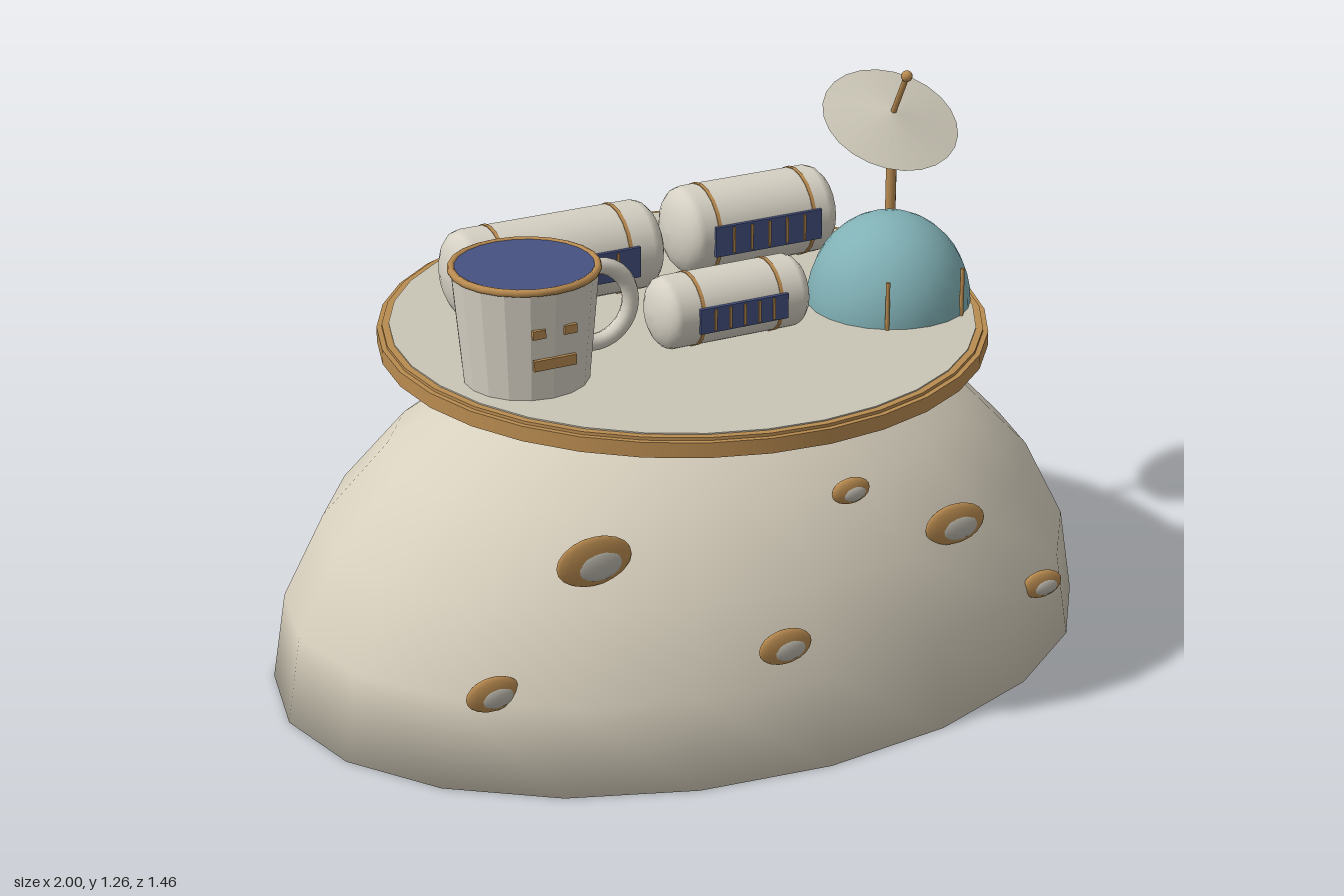
import * as THREE from 'three';
import { mergeGeometries, mergeVertices } from 'three/addons/utils/BufferGeometryUtils.js';

export function createModel() {
  const mat = (name, color, extra = {}) => {
    const m = new THREE.MeshStandardMaterial({ color, ...extra });
    m.name = name;
    return m;
  };
  const stone = mat('moonStone', 0xd8d0be);
  const shell = mat('shellCream', 0xd6d1c4);
  const deckGrey = mat('deckGrey', 0xcac5b5);
  const bronze = mat('bronze', 0xb98b50);
  const navy = mat('navy', 0x465282);
  const teal = mat('tealGlass', 0x80b0b5);
  const pit = mat('craterGrey', 0xbab6ab);

  const model = new THREE.Group();
  const add = (name, geo, material, x = 0, y = 0, z = 0, parent = model) => {
    const mesh = new THREE.Mesh(geo, material);
    mesh.name = name;
    mesh.position.set(x, y, z);
    parent.add(mesh);
    return mesh;
  };
  const group = (name, x, y, z) => {
    const g = new THREE.Group();
    g.name = name;
    g.position.set(x, y, z);
    model.add(g);
    return g;
  };
  const cyl = (rTop, rBottom, h, seg) => new THREE.CylinderGeometry(rTop, rBottom, h, seg);
  const flat = (geo) => {
    const g = geo.toNonIndexed();
    g.computeVertexNormals();
    return g;
  };

  // Half-ellipsoid moon with a closed base, shaded softly across the rim
  const half = new THREE.SphereGeometry(1, 20, 6, 0, Math.PI * 2, 0, Math.PI / 2);
  const rim = [];
  for (let i = 0; i < 20; i++) {
    const a = (i / 20) * Math.PI * 2;
    rim.push(new THREE.Vector2(Math.cos(a), Math.sin(a)));
  }
  const base = new THREE.ShapeGeometry(new THREE.Shape(rim)).rotateX(Math.PI / 2);
  for (const g of [half, base]) {
    g.deleteAttribute('uv');
    g.deleteAttribute('normal');
  }
  const moonGeo = mergeVertices(mergeGeometries([half, base]), 1e-3);
  moonGeo.scale(1, 0.8, 0.73);
  moonGeo.computeVertexNormals();
  const pos = moonGeo.attributes.position;
  const n = new THREE.Vector3();
  for (let i = 0; i < pos.count; i++) {
    if (pos.getY(i) > 0.001) continue;
    n.set(pos.getX(i), 0, pos.getZ(i) / 0.533).normalize().setY(-0.6).normalize();
    moonGeo.attributes.normal.setXYZ(i, n.x, n.y, n.z);
  }
  add('moon', moonGeo, stone);

  // Craters: flattened bronze lens with a paler pit
  const lens = new THREE.SphereGeometry(1, 16, 10);
  const craters = [
    [-0.465, 0.505, 0.495, 0.09], [-0.705, 0.235, 0.485, 0.064], [-0.1, 0.303, 0.69, 0.065],
    [0.135, 0.57, 0.553, 0.048], [0.4, 0.437, 0.566, 0.077], [0.67, 0.205, 0.523, 0.053],
  ];
  for (const [x, y, z, r] of craters) {
    add('craterRim', lens, bronze, x, y, z).scale.set(r, r * 0.65, 0.014);
    add('craterPit', lens, pit, x + r * 0.1, y - r * 0.1, z + 0.007).scale.set(r * 0.62, r * 0.4, 0.011);
  }

  // Round deck
  add('deckRim', cyl(0.7, 0.7, 0.035, 32), bronze, 0, 0.7875, 0);
  add('deckStep', cyl(0.688, 0.688, 0.008, 32), bronze, 0, 0.808, 0);
  add('deckTop', cyl(0.672, 0.672, 0.006, 32), deckGrey, 0, 0.812, 0);

  // Mug-shaped tower
  const mug = group('mug', -0.468, 0.815, 0.165);
  add('mugBody', flat(cyl(0.163, 0.14, 0.258, 18)), shell, 0, 0.129, 0, mug);
  add('mugRim', new THREE.TorusGeometry(0.16, 0.009, 8, 24).rotateX(Math.PI / 2), bronze, 0, 0.257, 0, mug);
  add('mugDrink', cyl(0.153, 0.153, 0.006, 24), navy, 0, 0.259, 0, mug);
  const handle = add('mugHandle', new THREE.TorusGeometry(0.09, 0.02, 8, 16, Math.PI * 1.1), shell, 0.165, 0.138, 0, mug);
  handle.rotation.z = -Math.PI * 0.55;
  for (const s of [-1, 1]) {
    add('mugEye', new THREE.BoxGeometry(0.03, 0.02, 0.009), bronze, s * 0.037, 0.16, 0.152, mug);
  }
  add('mugMouth', new THREE.BoxGeometry(0.1, 0.024, 0.009), bronze, 0, 0.088, 0.151, mug);

  // Living capsules: x centre, z centre, radius, length, band offset
  const capsules = [
    [-0.233, -0.205, 0.105, 0.535, 0.155],
    [0.293, -0.235, 0.105, 0.43, 0.125],
    [0.03, 0.16, 0.084, 0.385, 0.098],
  ];
  for (const [x, z, r, length, band] of capsules) {
    const g = group('capsule', x, 0.815 + r, z);
    const straight = length / 2 - r * 0.5;
    const profile = [];
    for (const s of [-1, 1]) {
      for (let i = 0; i <= 5; i++) {
        const a = ((s < 0 ? i : 5 - i) / 5) * Math.PI / 2;
        profile.push(new THREE.Vector2(r * Math.sin(a), s * (straight + r * 0.5 * Math.cos(a))));
      }
    }
    add('capsuleHull', new THREE.LatheGeometry(profile, 20).rotateZ(Math.PI / 2), shell, 0, 0, 0, g);
    for (const s of [-1, 1]) {
      add('capsuleBand', cyl(r * 1.02, r * 1.02, 0.009, 20).rotateZ(Math.PI / 2), bronze, s * band, 0, 0, g);
    }
    const w = band * 2.25;
    add('windowStrip', new THREE.BoxGeometry(w, r * 0.7, 0.009), navy, 0, 0, r * 1.01, g);
    for (let i = -2; i <= 2; i++) {
      add('windowBar', new THREE.BoxGeometry(0.006, r * 0.6, 0.005), bronze, (i * w) / 6, 0, r * 1.01 + 0.005, g);
    }
  }

  // Glass dome with two slim posts
  const dome = add('glassDome', new THREE.SphereGeometry(0.19, 24, 10, 0, Math.PI * 2, 0, Math.PI / 2), teal, 0.468, 0.815, 0.133);
  dome.scale.y = 1.11;
  for (const s of [-1, 1]) {
    add('domePost', cyl(0.005, 0.005, 0.115, 8), bronze, 0.468 + s * 0.098, 0.872, 0.296);
  }

  // Dish antenna on a pole, tilted towards the front
  add('antennaPole', cyl(0.013, 0.013, 0.3, 10), bronze, 0.665, 0.96, -0.2);
  const dish = group('dishAntenna', 0.665, 1.118, -0.21);
  dish.rotation.x = 0.5;
  add('dish', new THREE.ConeGeometry(0.168, 0.03, 24), deckGrey, 0, 0.015, 0, dish);
  add('dishFeed', cyl(0.007, 0.007, 0.12, 8), bronze, 0, 0.085, 0, dish);
  add('dishTip', new THREE.SphereGeometry(0.014, 12, 8), bronze, 0, 0.147, 0, dish);

  return model;
}
